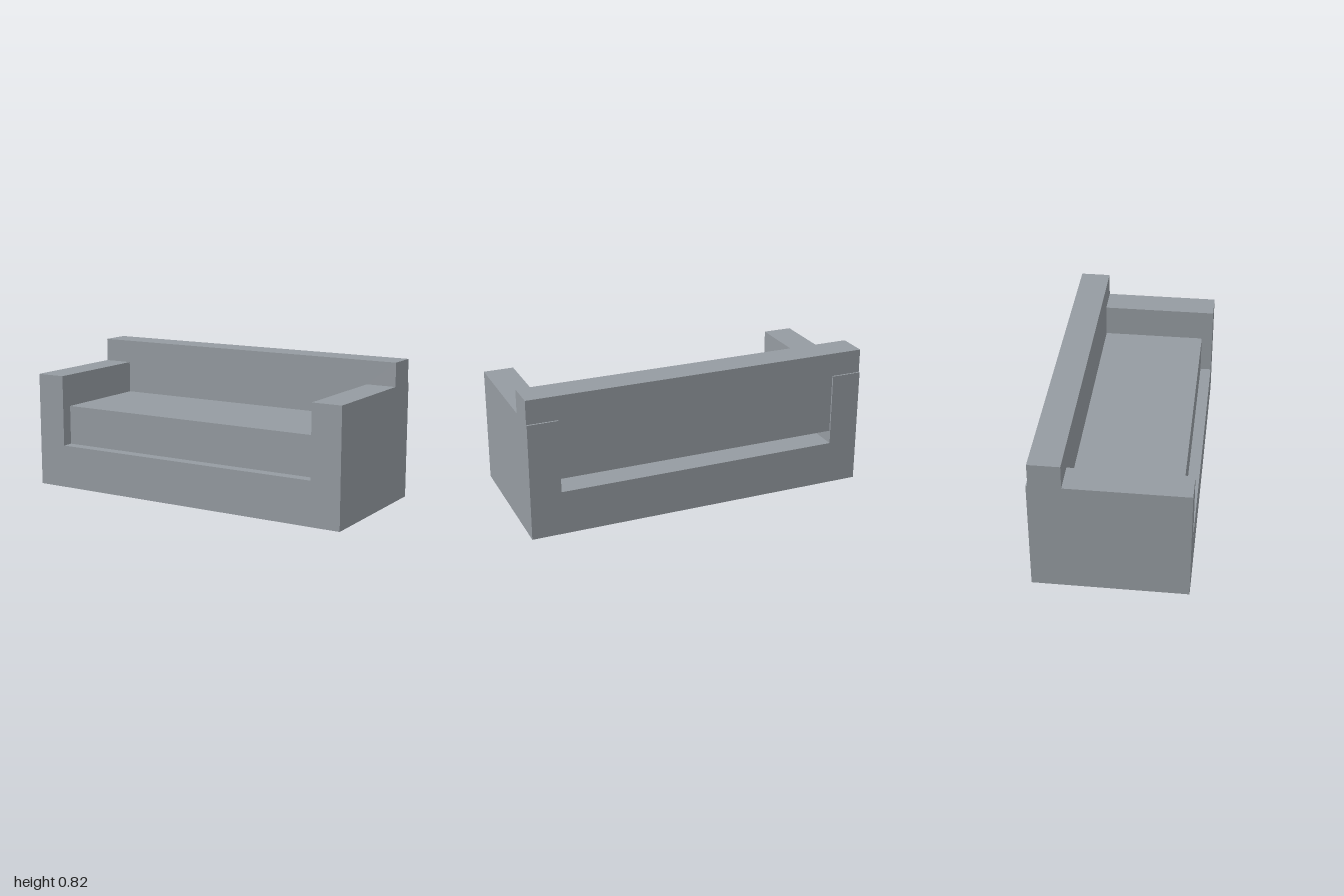
import * as THREE from 'three';

export function createModel() {
  const sofa = new THREE.Group();
  sofa.name = 'sofa';

  const upholstery = new THREE.MeshStandardMaterial({ color: 0x959ba1 });
  upholstery.name = 'grey upholstery';

  const add = (name, geometry) => {
    const mesh = new THREE.Mesh(geometry, upholstery);
    mesh.name = name;
    sofa.add(mesh);
    return mesh;
  };

  // Box given by its limits on each axis
  const box = (name, [x0, x1], [y0, y1], [z0, z1]) =>
    add(name, new THREE.BoxGeometry(x1 - x0, y1 - y0, z1 - z0))
      .position.set((x0 + x1) / 2, (y0 + y1) / 2, (z0 + z1) / 2);

  // Front outline, mirrored from its right half, extruded from z0 to z1
  const slab = (name, half, z0, z1) => {
    const mirrored = half.map(([x, y]) => [-x, y]).reverse();
    const outline = [...half, ...mirrored].map(([x, y]) => new THREE.Vector2(x, y));
    const geometry = new THREE.ExtrudeGeometry(new THREE.Shape(outline), {
      depth: z1 - z0,
      bevelEnabled: false,
    });
    add(name, geometry.translate(0, 0, z0));
  };

  const footHeight = 0.012, armTop = 0.683, baseTop = 0.265, inner = 0.825;

  // Base and both arms in one U-shaped block
  slab('frame', [[1, footHeight], [1, armTop], [inner, armTop], [inner, baseTop]], -0.43, 0.43);

  // Backrest: fits between the arms, then widens over them, with a gap above the base
  slab('backrest', [[inner, 0.34], [inner, armTop], [1, armTop], [1, 0.82]], -0.42, -0.245);

  // Seat cushion
  box('seatCushion', [-inner, inner], [baseTop, 0.495], [-0.245, 0.365]);

  // Four small square feet
  for (const x of [-0.905, 0.905]) {
    for (const z of [-0.332, 0.332]) {
      box('foot', [x - 0.024, x + 0.024], [0, footHeight], [z - 0.024, z + 0.024]);
    }
  }

  return sofa;
}
